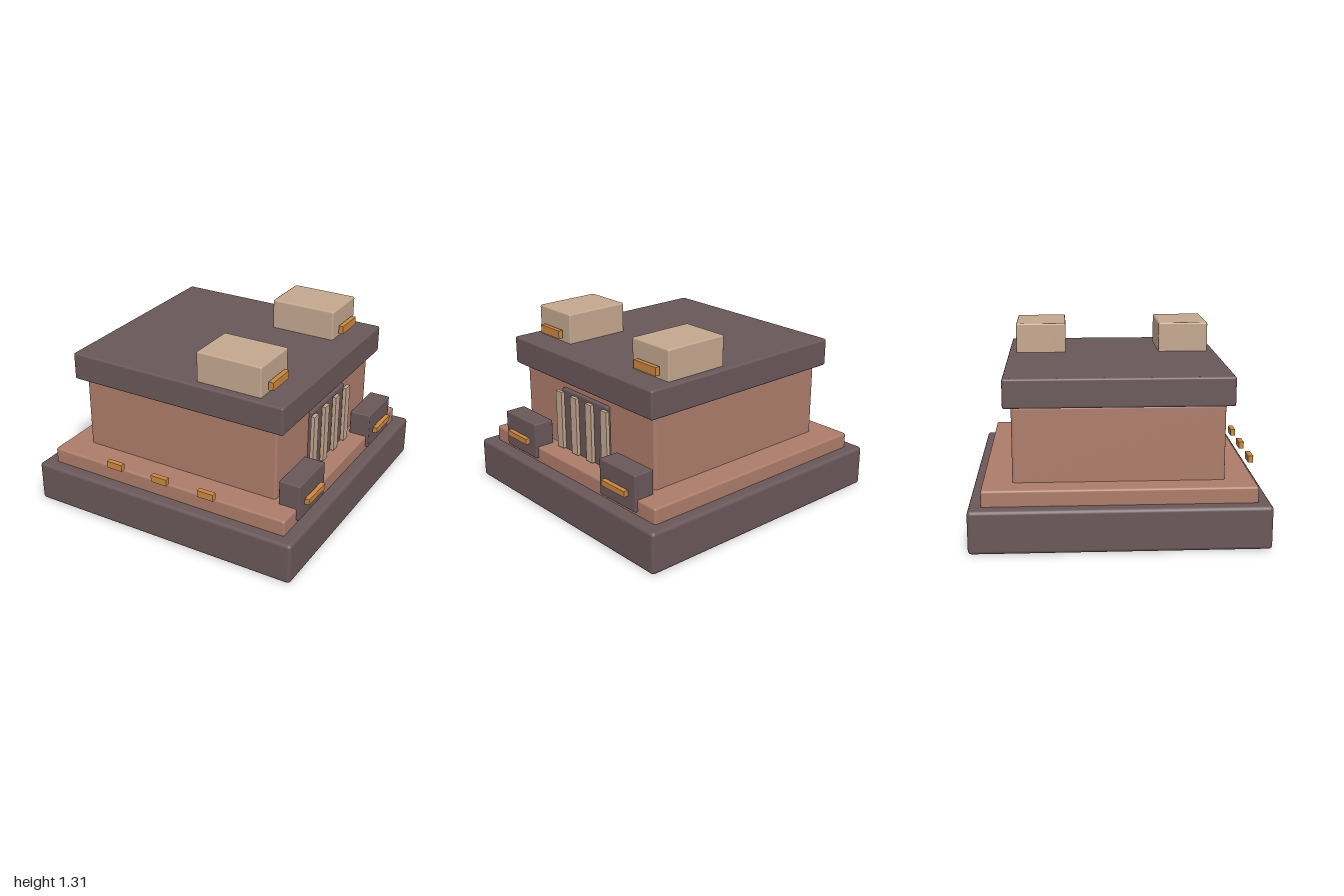
import * as THREE from 'three';
import { RoundedBoxGeometry } from 'three/addons/geometries/RoundedBoxGeometry.js';

export function createModel() {
  const model = new THREE.Group();
  model.name = 'building';

  const material = (name, color) => {
    const m = new THREE.MeshStandardMaterial({ color });
    m.name = name;
    return m;
  };
  const dark = material('dark stone', 0x6a575a);
  const clay = material('clay wall', 0xad7c6a);
  const tan = material('tan panel', 0xc4a78f);
  const amber = material('amber light', 0xcb8742);

  // Box from its limits on each axis, with softened edges of radius r
  const block = (name, mat, [x0, x1], [y0, y1], [z0, z1], r) => {
    const size = [x1 - x0, y1 - y0, z1 - z0];
    const geometry = r ? new RoundedBoxGeometry(...size, 2, r) : new THREE.BoxGeometry(...size);
    const mesh = new THREE.Mesh(geometry, mat);
    mesh.name = name;
    mesh.position.set((x0 + x1) / 2, (y0 + y1) / 2, (z0 + z1) / 2);
    model.add(mesh);
  };
  const around = (c, half) => [c - half, c + half];

  // Stacked tiers
  block('base', dark, [-1, 1], [0, 0.29], [-0.978, 0.978], 0.025);
  block('plinth', clay, [-0.91, 0.91], [0.26, 0.397], [-0.895, 0.895], 0.015);
  block('walls', clay, [-0.743, 0.743], [0.37, 0.905], [-0.698, 0.698], 0.02);
  block('roof', dark, [-0.808, 0.808], [0.905, 1.1], [-0.749, 0.749], 0.015);

  // Entrance panel with upright slats
  block('doorPanel', dark, [0.72, 0.77], [0.37, 0.84], [-0.25, 0.25], 0.01);
  for (const z of [-0.248, -0.083, 0.083, 0.248]) {
    block('doorSlat', tan, [0.775, 0.8], [0.405, 0.82], around(z, 0.032));
  }

  // Mirrored roof units and side boxes, each with a light bar
  for (const s of [-1, 1]) {
    block('roofUnit', tan, [0.148, 0.622], [0.89, 1.31], around(s * 0.515, 0.178), 0.012);
    block('roofUnitLight', amber, [0.635, 0.668], [1.13, 1.187], around(s * 0.515, 0.106));
    block('sideBox', dark, [0.78, 0.93], [0.313, 0.568], around(s * 0.547, 0.181), 0.008);
    block('sideBoxLight', amber, [0.935, 0.967], [0.41, 0.45], around(s * 0.547, 0.117));
  }

  // Row of small lights along the front
  for (const x of [-0.36, 0, 0.36]) {
    block('frontLight', amber, around(x, 0.06), [0.415, 0.463], [0.912, 0.947]);
  }

  return model;
}
